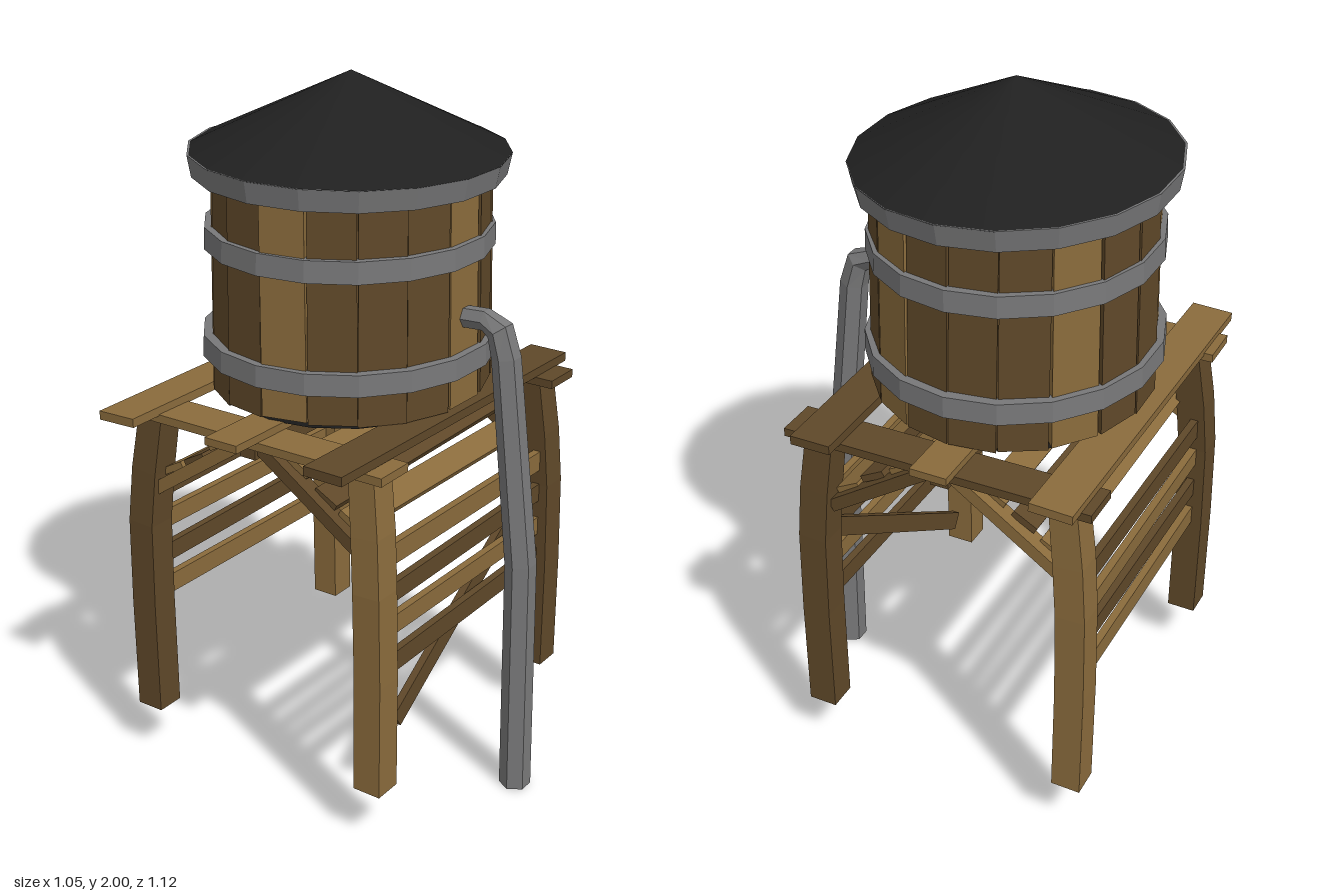
import * as THREE from 'three';

const mat = (name, color) => {
  const m = new THREE.MeshStandardMaterial({ color, flatShading: true });
  m.name = name;
  return m;
};

export function createModel() {
  const model = new THREE.Group();
  model.name = 'waterTower';
  const light = mat('lightWood', 0x8a6b3c);
  const dark = mat('darkWood', 0x5f4829);
  const metal = mat('greyMetal', 0x787879);
  const black = mat('blackRoof', 0x202020);
  black.flatShading = false;

  const add = (parent, name, geo, material, pos = [0, 0, 0], rot = [0, 0, 0]) => {
    const m = new THREE.Mesh(geo, material);
    m.name = name;
    m.position.set(...pos);
    m.rotation.set(...rot);
    parent.add(m);
    return m;
  };
  const box = (name, material, size, pos, rot) =>
    add(model, name, new THREE.BoxGeometry(...size), material, pos, rot);

  // Sweep a regular section along points [x, y, z, radius], with capped ends
  const sweep = (path, sides, phase) => {
    const pts = path.map((p) => new THREE.Vector3(p[0], p[1], p[2]));
    const pos = [], idx = [];
    pts.forEach((p, i) => {
      const t = pts[Math.min(i + 1, pts.length - 1)].clone().sub(pts[Math.max(i - 1, 0)]);
      t.z = 0;
      t.normalize();
      for (let k = 0; k < sides; k++) {
        const a = phase + (k / sides) * Math.PI * 2, r = path[i][3];
        pos.push(p.x + t.y * r * Math.cos(a), p.y - t.x * r * Math.cos(a), p.z + r * Math.sin(a));
      }
    });
    const last = (pts.length - 1) * sides;
    for (let k = 0; k < sides; k++) {
      const n = (k + 1) % sides;
      for (let i = 0; i < last; i += sides) {
        idx.push(i + k, i + sides + k, i + n, i + n, i + sides + k, i + sides + n);
      }
      if (k > 0 && k < sides - 1) idx.push(0, k, k + 1, last, last + k + 1, last + k);
    }
    const g = new THREE.BufferGeometry();
    g.setAttribute('position', new THREE.Float32BufferAttribute(pos, 3));
    g.setIndex(idx);
    g.computeVertexNormals();
    return g;
  };

  // Bowed legs, leaning inward near the top
  const legR = 0.042 * Math.SQRT2;
  const leg = (name, material, x, z, s, sz) => add(model, name, sweep([
    [x, 0.165, z, legR],
    [x + s * 0.002, 0.5, z, legR],
    [x - s * 0.002, 0.76, z, legR],
    [x - s * 0.014, 0.92, z - sz * 0.01, legR],
    [x - s * 0.036, 1.1, z - sz * 0.025, legR * 0.95],
  ], 4, Math.PI / 4), material);
  leg('frontRightLeg', dark, -0.474, 0.408, -1, 1);
  leg('frontLeftLeg', light, 0.302, 0.408, 1, 1);
  leg('backRightLeg', light, -0.474, -0.458, -1, -0.4);
  leg('backLeftLeg', dark, 0.302, -0.458, 1, -0.4);

  // Platform boards
  box('frontCrossBoard', light, [0.87, 0.024, 0.122], [-0.087, 1.1, 0.393], [0, 0.01, -0.008]);
  box('backCrossBoard', dark, [0.885, 0.024, 0.12], [-0.082, 1.1, -0.446], [0, 0, -0.008]);
  box('rightDeckBoard', light, [0.12, 0.025, 1.117], [-0.437, 1.124, 0], [0.006, 0, 0.03]);
  box('middleDeckBoard', light, [0.105, 0.022, 1.09], [-0.093, 1.122, -0.005]);
  box('leftDeckBoard', dark, [0.117, 0.026, 1.12], [0.248, 1.125, 0], [-0.008, 0, -0.01]);
  box('ridgeBeam', dark, [0.052, 0.06, 0.92], [-0.09, 1.08, -0.025]);

  // Knee braces and the slats lying across them
  for (const s of [-1, 1]) {
    const dx = s * 0.34, dy = -0.23, len = Math.hypot(dx, dy);
    const slope = Math.atan2(dy * s, dx * s);
    for (const z of [0.4, -0.45]) {
      box('kneeBrace', s < 0 ? light : dark, [len, 0.036, 0.05],
        [-0.09 + dx / 2, 1.1 + dy / 2, z], [0, 0, slope]);
    }
    [0.36, 0.62, 0.85].forEach((t, i) => {
      box('braceSlat', i % 2 ? dark : light, [0.075, 0.02, 0.84],
        [-0.09 + dx * t + s * 0.012, 1.1 + dy * t + 0.022, -0.025],
        [i % 2 ? 0.012 : -0.01, 0, slope + s * 0.1]);
    });
  }

  // Side slats between the front and back legs
  [[0.843, 0.06], [0.735, 0.055], [0.633, 0.055], [0.525, 0.058]].forEach(([y, h], i) => {
    const tilt = (i % 2 ? 1 : -1) * 0.008;
    box('leftSideSlat', i % 2 ? dark : light, [0.022, h, 0.82], [0.305, y, -0.025], [tilt, 0, 0]);
    box('rightSideSlat', i % 2 ? light : dark, [0.022, h, 0.82], [-0.475, y, -0.025], [-tilt, 0, 0]);
  });
  box('looseDiagonalBoard', dark, [0.022, 0.055, 0.83], [0.28, 0.53, -0.065],
    [Math.atan2(0.45, 0.7), 0, 0]);

  // Tank, slightly oval
  const tank = new THREE.Group();
  tank.name = 'tank';
  tank.position.set(-0.085, 0, -0.025);
  tank.scale.z = 1.05;
  model.add(tank);
  const N = 18;
  const lightStaves = [0, 4, 7, 11, 14];
  add(tank, 'tankLining', new THREE.CylinderGeometry(0.335, 0.345, 0.59, N), dark, [0, 1.45, 0]);
  add(tank, 'tankFloor', new THREE.CylinderGeometry(0.355, 0.355, 0.03, N), black, [0, 1.145, 0]);
  for (let i = 0; i < N; i++) {
    const a = ((i + 0.5) / N) * Math.PI * 2;
    const j = Math.sin(i * 5.3 + 1);
    const bottom = 1.148 + j * 0.008;
    const g = new THREE.BoxGeometry(0.129, 1.75 - bottom, 0.03);
    const p = g.attributes.position;
    for (let k = 0; k < p.count; k++) {
      // Narrow the inner face and the top edge
      if (p.getZ(k) < 0) p.setX(k, p.getX(k) * 0.92);
      if (p.getY(k) > 0) p.setX(k, p.getX(k) * 0.97);
    }
    const r = 0.357 + j * 0.005;
    const stave = add(tank, 'stave', g, lightStaves.includes(i) ? light : dark,
      [Math.sin(a) * r, (1.75 + bottom) / 2, Math.cos(a) * r]);
    stave.rotation.set(-0.018, a + j * 0.03, j * 0.008, 'YXZ');
  }

  // Metal hoops and the roof rim
  const hoop = (name, y0, y1, inner, r0, r1, tilt) => {
    const h = (y1 - y0) / 2;
    const profile = [[r0, -h], [r1, h], [inner, h], [inner, -h], [r0, -h]];
    add(tank, name, new THREE.LatheGeometry(profile.map((p) => new THREE.Vector2(...p)), N),
      metal, [0, (y0 + y1) / 2, 0], [0, 0, tilt]);
  };
  hoop('lowerHoop', 1.24, 1.3, 0.37, 0.404, 0.402, -0.012);
  hoop('upperHoop', 1.54, 1.6, 0.36, 0.392, 0.39, -0.016);
  hoop('roofRim', 1.735, 1.795, 0.34, 0.418, 0.429, -0.024);

  // Shallow cone roof
  const roof = new THREE.ConeGeometry(0.429, 0.207, N, 4);
  add(tank, 'roof', roof, black, [0.004, 1.897, 0], [0, 0, -0.022]);

  // Drain pipe: out of the tank, over the elbow and down to the ground
  add(model, 'drainPipe', sweep([
    [0.485, 0.005, -0.036, 0.045],
    [0.478, 0.71, -0.036, 0.044],
    [0.417, 1.3, -0.028, 0.04],
    [0.397, 1.372, -0.026, 0.038],
    [0.35, 1.392, -0.03, 0.031],
    [0.25, 1.386, -0.033, 0.03],
  ], 6, Math.PI / 2), metal);

  return model;
}
